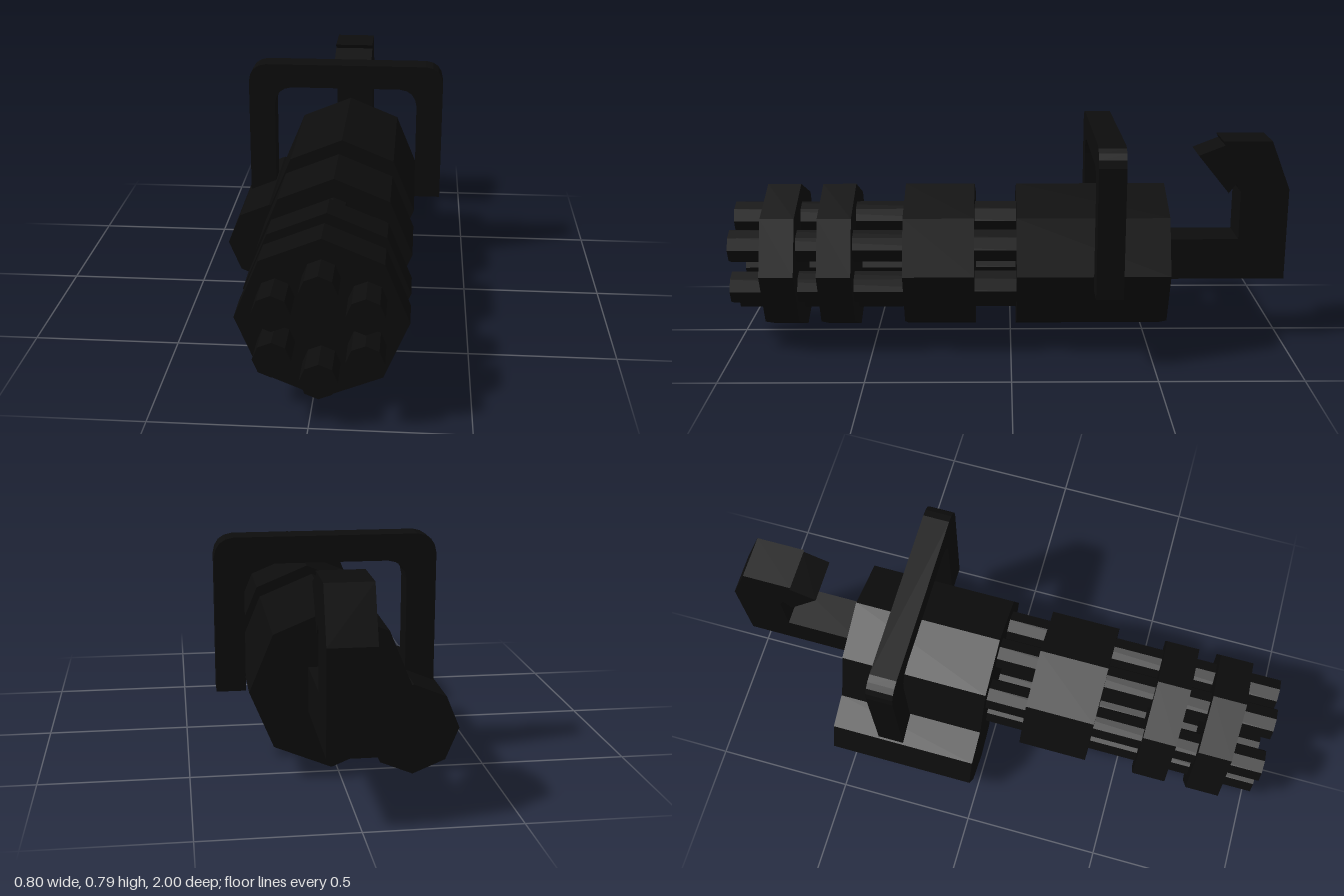
import * as THREE from 'three';

export function createModel() {
  const group = new THREE.Group();
  const black = new THREE.MeshStandardMaterial({ color: 0x0c0c0c, flatShading: true });
  black.name = 'gunmetal black';

  const add = (name, geometry) => {
    const mesh = new THREE.Mesh(geometry, black);
    mesh.name = name;
    group.add(mesh);
    return mesh;
  };

  // Eight-sided prism lying along z, with a corner at the top
  const prism = (name, x, y, radius, z0, z1) => {
    const geometry = new THREE.CylinderGeometry(radius, radius, z1 - z0, 8);
    geometry.rotateX(Math.PI / 2);
    add(name, geometry).position.set(x, y, (z0 + z1) / 2);
  };

  const cx = 0.032, cy = 0.309;

  // Housing and the side drum
  prism('housing', cx, cy, 0.27, -0.56, -0.02);
  prism('sideDrum', -0.243, 0.158, 0.157, -0.56, -0.02);

  // Clamp discs along the barrels
  [[0.13, 0.38], [0.56, 0.68], [0.76, 0.88]].forEach(([a, b], i) =>
    prism('clampDisc' + (i + 1), cx, cy, 0.27, a, b));

  // Ring of six barrels
  [[0, 0.145], [0.14, 0.077], [0.14, -0.077], [0, -0.145], [-0.14, -0.077], [-0.14, 0.077]]
    .forEach(([dx, dy], i) => prism('barrel' + (i + 1), cx + dx, cy + dy, 0.059, -0.03, 1));

  // Carrying handle: an arch with rounded shoulders
  const arch = new THREE.Shape();
  arch.moveTo(-0.347, 0.26);
  arch.lineTo(-0.347, 0.72);
  arch.quadraticCurveTo(-0.342, 0.782, -0.282, 0.787);
  arch.lineTo(0.335, 0.787);
  arch.quadraticCurveTo(0.395, 0.782, 0.4, 0.72);
  arch.lineTo(0.4, 0.26);
  arch.lineTo(0.301, 0.26);
  arch.lineTo(0.301, 0.63);
  arch.quadraticCurveTo(0.296, 0.692, 0.235, 0.697);
  arch.lineTo(-0.182, 0.697);
  arch.quadraticCurveTo(-0.242, 0.692, -0.247, 0.63);
  arch.lineTo(-0.247, 0.26);
  arch.closePath();
  add('carryHandle', new THREE.ExtrudeGeometry(arch,
    { depth: 0.095, bevelEnabled: false, curveSegments: 4 })).position.z = -0.385;

  // Rear grip: side profile given as (distance back, height)
  const profile = [
    [0.55, 0.237], [1, 0.237], [1, 0.574], [0.93, 0.75], [0.756, 0.75], [0.763, 0.735],
    [0.67, 0.698], [0.783, 0.56], [0.81, 0.597], [0.826, 0.566], [0.826, 0.388], [0.55, 0.388],
  ].map(([u, v]) => new THREE.Vector2(u, v));
  const grip = new THREE.ExtrudeGeometry(new THREE.Shape(profile),
    { depth: 0.152, bevelEnabled: false });
  grip.rotateY(Math.PI / 2);
  add('rearGrip', grip).position.x = -0.043;

  return group;
}
